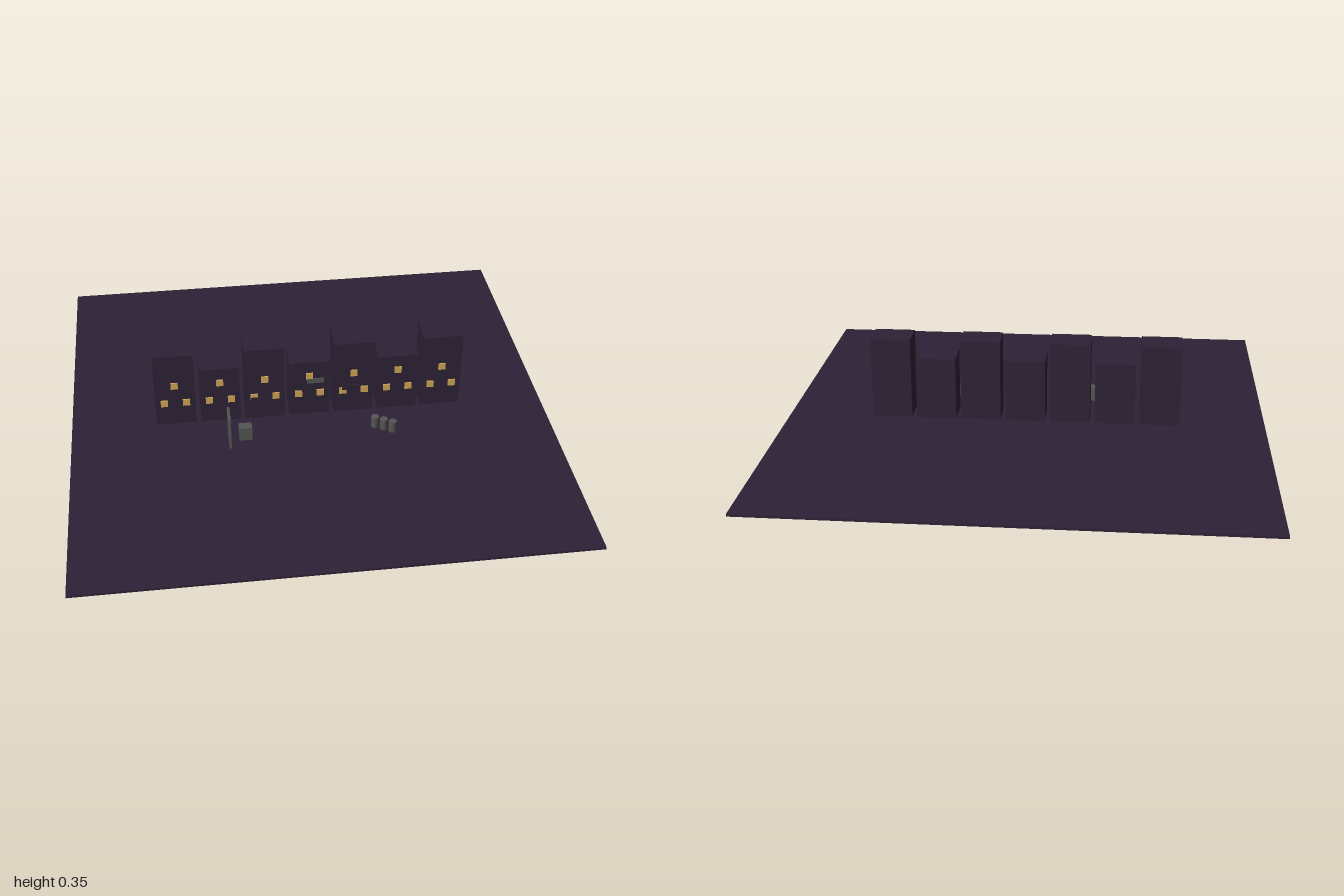
import * as THREE from 'three';

export function createModel() {
  const model = new THREE.Group();
  model.name = 'nightStreet';

  const material = (name, color) => {
    const m = new THREE.MeshStandardMaterial({ color });
    m.name = name;
    return m;
  };
  const dusk = material('duskPurple', 0x2e2236);
  const amber = material('windowAmber', 0xd0a555);
  const stone = material('stoneGrey', 0x555553);

  const add = (parent, name, geometry, mat, x, y, z) => {
    const mesh = new THREE.Mesh(geometry, mat);
    mesh.name = name;
    mesh.position.set(x, y, z);
    parent.add(mesh);
    return mesh;
  };
  const box = (parent, name, [w, h, d], mat, x, y, z) =>
    add(parent, name, new THREE.BoxGeometry(w, h, d), mat, x, y, z);

  // Thin square ground
  const groundTop = 0.01;
  box(model, 'ground', [2, groundTop, 2], dusk, 0, groundTop / 2, 0);

  // Row of alternating tall and short houses, each with three lit windows
  for (let i = 0; i < 7; i++) {
    const house = new THREE.Group();
    house.name = 'house';
    house.position.x = (i - 3) * 0.1875;
    const top = i % 2 ? 0.275 : 0.355;
    const height = top - groundTop;
    box(house, 'houseBody', [0.167, height, 0.13], dusk, 0, groundTop + height / 2, -0.0125);
    for (const [x, y] of [[-0.046, 0.12], [0.046, 0.12], [0, 0.207]]) {
      box(house, 'window', [0.03, 0.03, 0.006], amber, x, y, 0.0555);
    }
    model.add(house);
  }

  // Free-standing wall and crate
  box(model, 'wall', [0.01, 0.147, 0.092], stone, -0.35, 0.0835, 0.202);
  box(model, 'crate', [0.054, 0.062, 0.038], stone, -0.283, 0.041, 0.182);

  // Diagonal row of barrels
  for (let i = 0; i < 3; i++) {
    add(model, 'barrel', new THREE.CylinderGeometry(0.017, 0.017, 0.05, 8), stone,
      0.262 + i * 0.034, 0.035, 0.172 + i * 0.02);
  }

  // Small hanging signs
  box(model, 'darkSign', [0.075, 0.022, 0.005], dusk, -0.217, 0.184, 0.16);
  box(model, 'darkSign', [0.075, 0.022, 0.005], dusk, 0.165, 0.184, 0.12);
  box(model, 'greySign', [0.072, 0.022, 0.005], stone, 0.025, 0.184, 0.058);

  return model;
}
